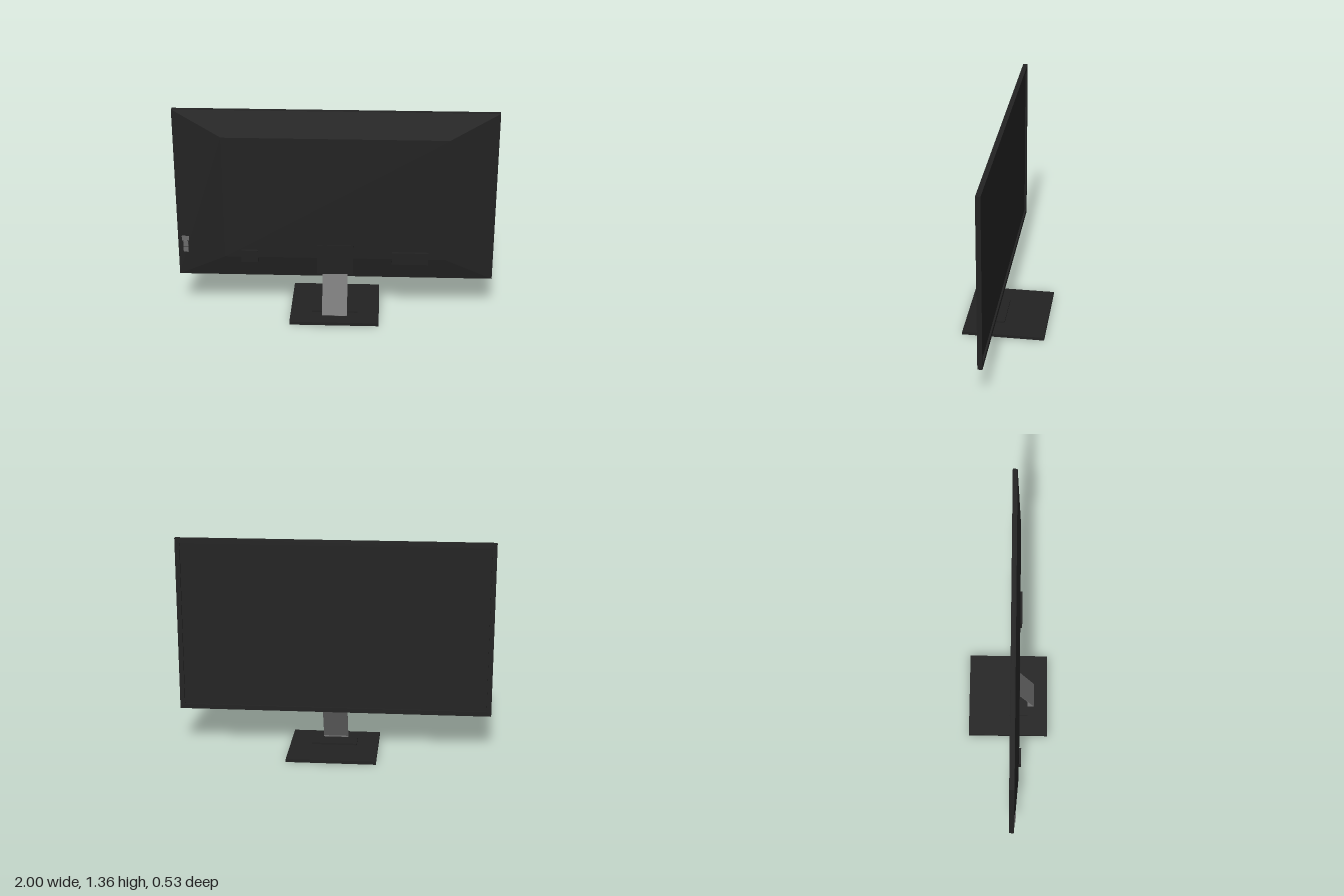
import * as THREE from 'three';

export function createModel() {
  const model = new THREE.Group();
  const plastic = new THREE.MeshStandardMaterial({ color: 0x222222 });
  plastic.name = 'black plastic';
  const metal = new THREE.MeshStandardMaterial({ color: 0x6a6a6a });
  metal.name = 'grey metal';

  const add = (name, geometry, material, parent = model) => {
    const mesh = new THREE.Mesh(geometry, material);
    mesh.name = name;
    parent.add(mesh);
    return mesh;
  };
  // Box given by its minimum and maximum on each axis
  const box = (name, [x0, x1], [y0, y1], [z0, z1], material = plastic) => {
    const g = new THREE.BoxGeometry(x1 - x0, y1 - y0, z1 - z0);
    g.translate((x0 + x1) / 2, (y0 + y1) / 2, (z0 + z1) / 2);
    return add(name, g, material);
  };
  const rectangle = (Type, x, y0, y1) => {
    const path = new Type();
    path.moveTo(-x, y0).lineTo(x, y0).lineTo(x, y1).lineTo(-x, y1).closePath();
    return path;
  };

  // Panel, with a raised bezel around the recessed screen
  box('screenPanel', [-1, 1], [0.24, 1.36], [0.026, 0.045]);
  const ring = rectangle(THREE.Shape, 1, 0.24, 1.36);
  ring.holes.push(rectangle(THREE.Path, 0.97, 0.27, 1.33));
  const bezel = new THREE.ExtrudeGeometry(ring, { depth: 0.011, bevelEnabled: false });
  add('bezel', bezel.translate(0, 0, 0.015), plastic);

  // Rear housing: a shallow box whose outer face is pulled in
  const housing = new THREE.BoxGeometry(2, 1.12, 0.025).translate(0, 0.8, 0.0575);
  const p = housing.attributes.position;
  for (let i = 0; i < p.count; i++) {
    if (p.getZ(i) < 0.06) continue;
    p.setX(i, 0.7 * Math.sign(p.getX(i)));
    p.setY(i, p.getY(i) > 0.8 ? 1.19 : 0.38);
  }
  housing.computeVertexNormals();
  add('rearHousing', housing, plastic);

  // Blocks on the rear housing
  box('smallRearBlock', [-0.595, -0.49], [0.35, 0.43], [0.045, 0.087]);
  box('largeRearBlock', [0.36, 0.59], [0.35, 0.43], [0.045, 0.087]);
  box('neckMount', [-0.115, 0.115], [0.27, 0.47], [0.045, 0.076]);

  // Connectors near the side edge
  box('widePort', [-0.975, -0.93], [0.48, 0.51], [0.042, 0.056], metal);
  for (const y of [0.4, 0.442]) {
    box('smallPort', [-0.967, -0.936], [y, y + 0.033], [0.042, 0.056], metal);
  }

  // Thin slanted neck and its foot
  const rise = 0.25, run = 0.107;
  const neck = add('neck', new THREE.BoxGeometry(0.16, Math.hypot(rise, run), 0.004), metal);
  neck.position.set(0, 0.145, 0.119);
  neck.rotation.x = -Math.atan2(run, rise);
  box('neckFoot', [-0.08, 0.08], [0.02, 0.023], [0.12, 0.174], metal);

  // Base
  box('base', [-0.283, 0.283], [0, 0.02], [-0.263, 0.263]);
  box('basePlate', [-0.145, 0.145], [0.02, 0.03], [0.01, 0.13]);

  return model;
}
